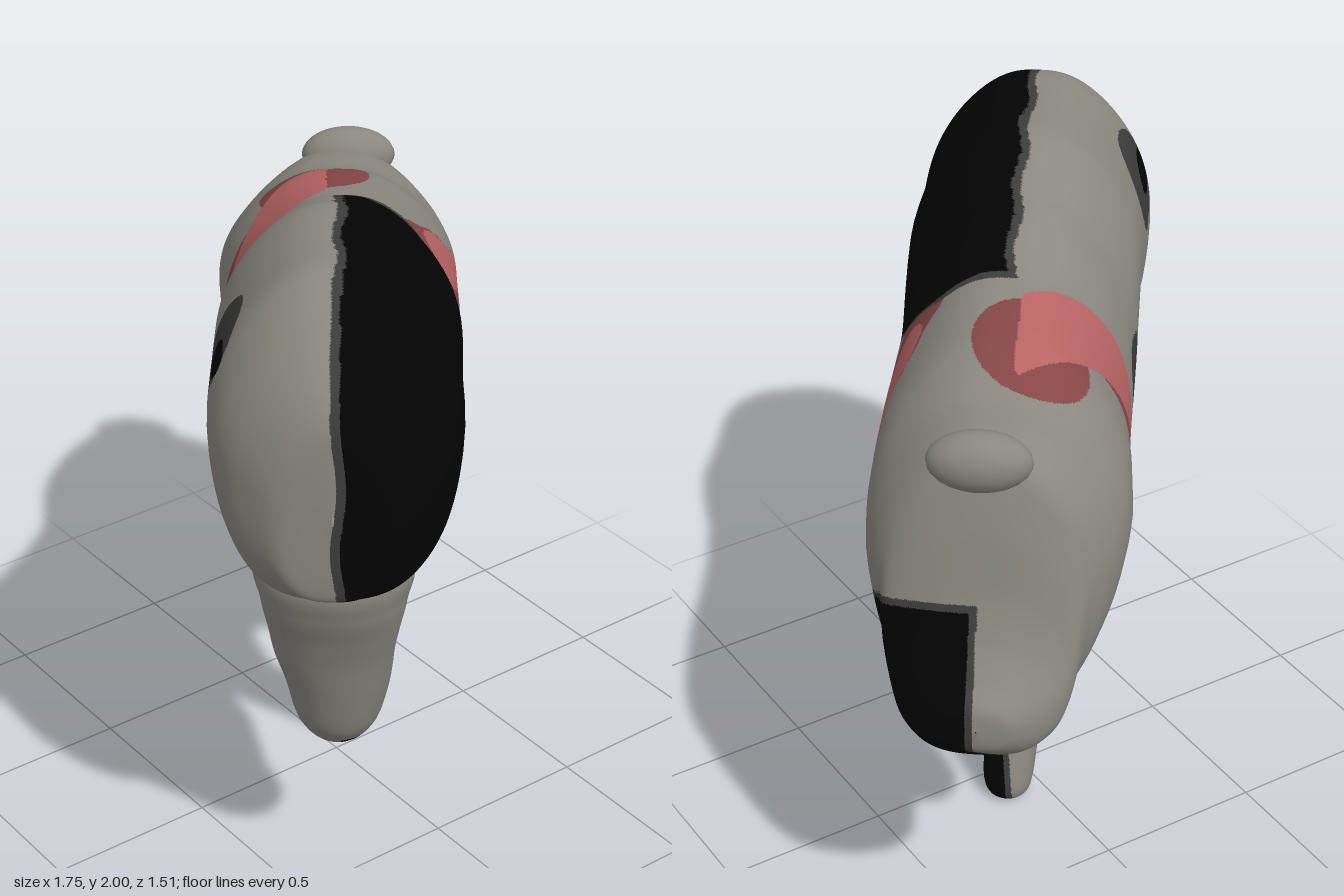
import * as THREE from 'three';

const mat = (name, color) => Object.assign(new THREE.MeshStandardMaterial({ color }), { name });

// Local frame: x runs from snout (-) to rump (+), z is the thickness of the animal.
const YAW = -0.652;
const GREY = 0, DARK = 1, BLACK = 2, RED = 3, MAROON = 4;

// Smooth curve through rows of numbers, three columns from a starting column
const curve = (rows, c) => new THREE.CatmullRomCurve3(
  rows.map(r => new THREE.Vector3(r[c], r[c + 1], r[c + 2])), false, 'catmullrom', 0.4);

const power = (s, e) => Math.sign(s) * Math.pow(Math.abs(s), e);

// Piecewise linear lookup in [x, y] pairs
function lookup(pairs, x) {
  if (x <= pairs[0][0]) return pairs[0][1];
  for (let i = 1; i < pairs.length; i++) {
    const [x0, y0] = pairs[i - 1], [x1, y1] = pairs[i];
    if (x <= x1) return y0 + (y1 - y0) * (x - x0) / (x1 - x0);
  }
  return pairs[pairs.length - 1][1];
}

// Distance from (x, y) to a segment
function segment(x, y, ax, ay, bx, by) {
  const dx = bx - ax, dy = by - ay;
  const t = Math.min(1, Math.max(0, ((x - ax) * dx + (y - ay) * dy) / (dx * dx + dy * dy)));
  return Math.hypot(x - ax - t * dx, y - ay - t * dy);
}

// Closed skin of n rings with m points; faces are sorted by the colour rule
// and split where a colour border crosses them
function skin(name, n, m, point, paint, materials) {
  const base = new THREE.BufferGeometry(), pos = [], index = [];
  for (let i = 0; i <= n; i++)
    for (let j = 0; j < m; j++) pos.push(...point(i / n, j / m * Math.PI * 2));
  for (let i = 0; i < n; i++) {
    for (let j = 0; j < m; j++) {
      const k = (j + 1) % m;
      const a = i * m + j, b = a + m, c = (i + 1) * m + k, d = i * m + k;
      index.push(a, b, c, a, c, d);
    }
  }
  base.setAttribute('position', new THREE.Float32BufferAttribute(pos, 3));
  base.setIndex(index);
  base.computeVertexNormals();
  const normal = base.attributes.normal.array;

  // A corner holds position and normal in one list of six numbers
  const corner = q => [...pos.slice(q * 3, q * 3 + 3), ...normal.slice(q * 3, q * 3 + 3)];
  const mid = (a, b) => a.map((v, i) => (v + b[i]) / 2);
  const buckets = materials.map(() => []);
  const emit = (a, b, c, depth) => {
    const [p, q, r] = [a, b, c].map(v => paint(v[0], v[1], v[2]));
    if (depth > 0 && (p !== q || q !== r)) {
      const ab = mid(a, b), bc = mid(b, c), ca = mid(c, a);
      for (const t of [[a, ab, ca], [ab, b, bc], [ca, bc, c], [ab, bc, ca]]) emit(...t, depth - 1);
    } else buckets[q === r ? q : p].push(a, b, c);
  };
  for (let i = 0; i < index.length; i += 3)
    emit(corner(index[i]), corner(index[i + 1]), corner(index[i + 2]), 2);

  const geo = new THREE.BufferGeometry(), all = buckets.flat();
  geo.setAttribute('position', new THREE.Float32BufferAttribute(all.flatMap(v => v.slice(0, 3)), 3));
  geo.setAttribute('normal', new THREE.Float32BufferAttribute(all.flatMap(v => v.slice(3)), 3));
  let start = 0;
  buckets.forEach((b, q) => {
    if (b.length) geo.addGroup(start, b.length, q);
    start += b.length;
  });
  const mesh = new THREE.Mesh(geo, materials);
  mesh.name = name;
  return mesh;
}

// Limb from rows [x, y, z, half width in x, half width in z, 0], bottom to top
function limb(name, rows, paint, materials) {
  const path = curve(rows, 0), size = curve(rows, 3);
  return skin(name, 48, 32, (t, a) => {
    const p = path.getPoint(t), s = size.getPoint(t);
    return [p.x - Math.max(0.001, s.x) * Math.sin(a), p.y, p.z + Math.max(0.001, s.y) * Math.cos(a)];
  }, paint, materials);
}

// Lower edge of the black back, upper edge of the black muzzle, underside of the jaw
const backEdge = [[-0.14, 1.7], [-0.06, 1.52], [0.07, 1.44], [0.33, 1.35], [0.64, 1.17], [1, 1.12]];
const muzzleEdge = [[-1, 1.28], [-0.88, 1.23], [-0.5, 1.04]];
const jaw = [[-1, 0.82], [-0.79, 0.82], [-0.58, 0.96], [-0.42, 0.93]];

function bodyPaint(x, y, z) {
  const wx = x * 0.795 - z * 0.607, wz = x * 0.607 + z * 0.795;
  const wobble = 0.008 * Math.sin(23 * x + 17 * y);
  // black back with a thin dark rim
  const inside = Math.min(-z, y - lookup(backEdge, x), x + 0.15) + wobble;
  if (inside > 0.025) return BLACK;
  if (inside > 0) return DARK;
  // black muzzle on one side, reaching under the jaw
  const under = 3 * Math.max(0, lookup(jaw, x) + 0.04 - y);
  const muzzle = Math.min(under - z - 0.03, lookup(muzzleEdge, x) - y + wobble, -0.46 - x);
  if (muzzle > 0.02) return BLACK;
  if (muzzle > 0) return DARK;
  // small black mark under the chest
  if (y < 0.9 && Math.hypot((wx + 0.19) / 0.045, (y - 0.825) / 0.03) < 1) return BLACK;
  if (z > 0.03) {
    // spots on the front flank
    if (y > 1.45 && Math.hypot((wx - 0.335) / 0.065, (y - 1.715 - 0.4 * (wx - 0.335)) / 0.05) < 1) return BLACK;
    if (Math.hypot((wx - 0.29) / 0.112, (y - 1.72 - 0.5 * (wx - 0.29)) / 0.125) < 1) return DARK;
    if (Math.hypot((wx + 0.135) / 0.08, (y - 1.37) / 0.12) < 1) return DARK;
    // red strip, narrowing downward
    if (y > 1.29 && Math.abs(wx + 0.32) < 0.03 + 0.2 * (y - 1.29)) return RED;
    if (segment(wx, y, -0.32, 1.6, -0.4, 1.24) < 0.085 + wobble) return MAROON;
  }
  // patch over the shoulders
  if (y > 1.45 && Math.hypot((wx + 0.36) / 0.175, (wz + 0.19) / 0.15) < 1) return MAROON;
  if (z < -0.1) {
    // slanting band on the far flank
    if (segment(x, y, -0.2, 1.59, -0.47, 1.345) < 0.072 + wobble) return RED;
    if (segment(x, y, -0.14, 1.62, -0.55, 1.23) < 0.1 + wobble) return MAROON;
    if (Math.hypot((x + 0.39) / 0.115, (y - 1.07) / 0.09) < 1) return DARK;
  }
  return spot(x, y, z);
}

// Dark patch behind the front leg
const spot = (x, y, z) =>
  Math.hypot((x - 0.17 - 0.15 * (y - 0.97)) / 0.1, (y - 0.97) / 0.19, (z + 0.09) / 0.16) < 1 ? DARK : GREY;

// Far side of the long leg, with a thin dark rim
function longLegPaint(x, y, z) {
  const inside = Math.min(0.65 - y, -z - 0.08 * y);
  return inside > 0.018 ? BLACK : inside > 0 ? DARK : spot(x, y, z);
}

export function createModel() {
  const model = new THREE.Group();
  model.name = 'animal';
  const materials = [
    mat('grey fur', 0x8a8780), mat('dark grey', 0x3c3c3c), mat('black', 0x030303),
    mat('red', 0xb86464), mat('dark red', 0x854646),
  ];

  // Body and head: [x, bottom, top, half thickness, z centre, narrowing of the underside]
  const rows = [
    [-1.045, 0.92, 0.94, 0.002, -0.02, 0], [-1.035, 0.87, 1, 0.09, -0.02, 0],
    [-0.99, 0.82, 1.06, 0.17, -0.02, 0], [-0.94, 0.81, 1.14, 0.22, -0.02, 0],
    [-0.9, 0.81, 1.26, 0.245, -0.02, 0.05], [-0.865, 0.81, 1.45, 0.265, -0.02, 0.1],
    [-0.825, 0.81, 1.61, 0.28, -0.015, 0.1], [-0.78, 0.83, 1.65, 0.31, -0.01, 0.15],
    [-0.7, 0.88, 1.665, 0.34, -0.005, 0.2], [-0.58, 0.96, 1.68, 0.355, 0, 0.25],
    [-0.42, 0.93, 1.75, 0.35, -0.005, 0.4], [-0.25, 0.83, 1.78, 0.345, -0.015, 0.5],
    [-0.1, 0.81, 1.81, 0.34, -0.015, 0.55], [0.02, 0.81, 1.88, 0.335, -0.01, 0.55],
    [0.12, 0.88, 1.91, 0.335, -0.01, 0.5], [0.2, 1.02, 1.95, 0.335, -0.01, 0.4],
    [0.32, 1.12, 2, 0.335, -0.01, 0.25], [0.52, 1.08, 2, 0.335, -0.005, 0.2],
    [0.7, 1.08, 2, 0.335, -0.005, 0.15], [0.81, 1.1, 1.93, 0.315, -0.005, 0.1],
    [0.89, 1.13, 1.84, 0.265, 0, 0], [0.95, 1.17, 1.76, 0.2, 0, 0],
    [0.985, 1.2, 1.67, 0.135, 0, 0], [0.995, 1.42, 1.46, 0.002, 0, 0],
  ];
  const spine = curve(rows, 0), girth = curve(rows, 3);
  model.add(skin('body', 200, 96, (t, a) => {
    const s = spine.getPoint(t), g = girth.getPoint(t);
    const up = power(Math.sin(a), 0.75), side = power(Math.cos(a), 0.75);
    const narrow = up > 0 ? 1 - 0.33 * up * up : 1 - g.z * (-up) ** 1.5;
    return [s.x, (s.y + s.z) / 2 + (s.z - s.y) / 2 * up, g.y + Math.max(0.001, g.x) * side * narrow];
  }, bodyPaint, materials));

  // Ear ridge
  const ear = new THREE.Mesh(new THREE.SphereGeometry(1, 24, 16), materials[GREY]);
  ear.name = 'ear';
  ear.scale.set(0.075, 0.085, 0.14);
  ear.position.set(-0.8, 1.625, -0.03);
  model.add(ear);

  // Long front leg, black on its far side
  model.add(limb('longFrontLeg', [
    [-0.14, 0, -0.02, 0, 0, 0], [-0.14, 0.01, -0.02, 0.06, 0.055, 0],
    [-0.13, 0.06, -0.02, 0.085, 0.075, 0], [-0.075, 0.25, -0.01, 0.09, 0.085, 0],
    [-0.015, 0.45, 0, 0.1, 0.1, 0], [0.035, 0.62, 0, 0.105, 0.105, 0],
    [0.055, 0.8, 0, 0.15, 0.14, 0], [0.045, 0.95, 0, 0.19, 0.165, 0],
    [0.04, 1.1, 0, 0.2, 0.18, 0], [0.02, 1.3, 0, 0, 0, 0],
  ], longLegPaint, materials));

  // Short front leg with a small black mark
  model.add(limb('shortFrontLeg', [
    [-0.42, 0.41, -0.03, 0, 0, 0], [-0.42, 0.415, -0.03, 0.06, 0.06, 0],
    [-0.42, 0.48, -0.03, 0.1, 0.1, 0], [-0.39, 0.65, -0.02, 0.1, 0.1, 0],
    [-0.34, 0.82, -0.02, 0.13, 0.12, 0], [-0.3, 0.95, -0.02, 0.17, 0.13, 0],
    [-0.28, 1.1, 0, 0, 0, 0],
  ], (x, y, z) => y > 0.5 && y < 0.7 && x < -0.4 && z < -0.05 ? BLACK : GREY, materials));

  // Hind leg with a black mark under the foot
  model.add(limb('hindLeg', [
    [0.63, 0.52, -0.01, 0, 0, 0], [0.63, 0.53, -0.01, 0.065, 0.065, 0],
    [0.635, 0.6, -0.01, 0.115, 0.115, 0], [0.655, 0.73, -0.01, 0.135, 0.145, 0],
    [0.71, 0.86, 0, 0.115, 0.165, 0], [0.74, 0.96, 0, 0.12, 0.18, 0],
    [0.74, 1.06, 0, 0.16, 0.2, 0], [0.71, 1.18, 0, 0.2, 0.21, 0], [0.7, 1.36, 0, 0, 0, 0],
  ], (x, y, z) => y < 0.55 && z < -0.02 ? BLACK : GREY, materials));

  // Second hind leg, bent and joined to the foot around a small gap
  model.add(limb('bentHindLeg', [
    [0.59, 0.62, 0, 0, 0, 0], [0.56, 0.67, 0, 0.11, 0.1, 0],
    [0.49, 0.76, 0, 0.15, 0.12, 0], [0.45, 0.84, 0, 0.145, 0.13, 0],
    [0.43, 0.92, 0, 0.125, 0.13, 0], [0.46, 1.01, 0, 0.16, 0.14, 0],
    [0.51, 1.1, 0, 0.21, 0.18, 0], [0.5, 1.3, 0, 0, 0, 0],
  ], () => GREY, materials));

  model.rotation.y = YAW;
  const root = new THREE.Group();
  root.name = 'model';
  root.add(model);
  return root;
}
